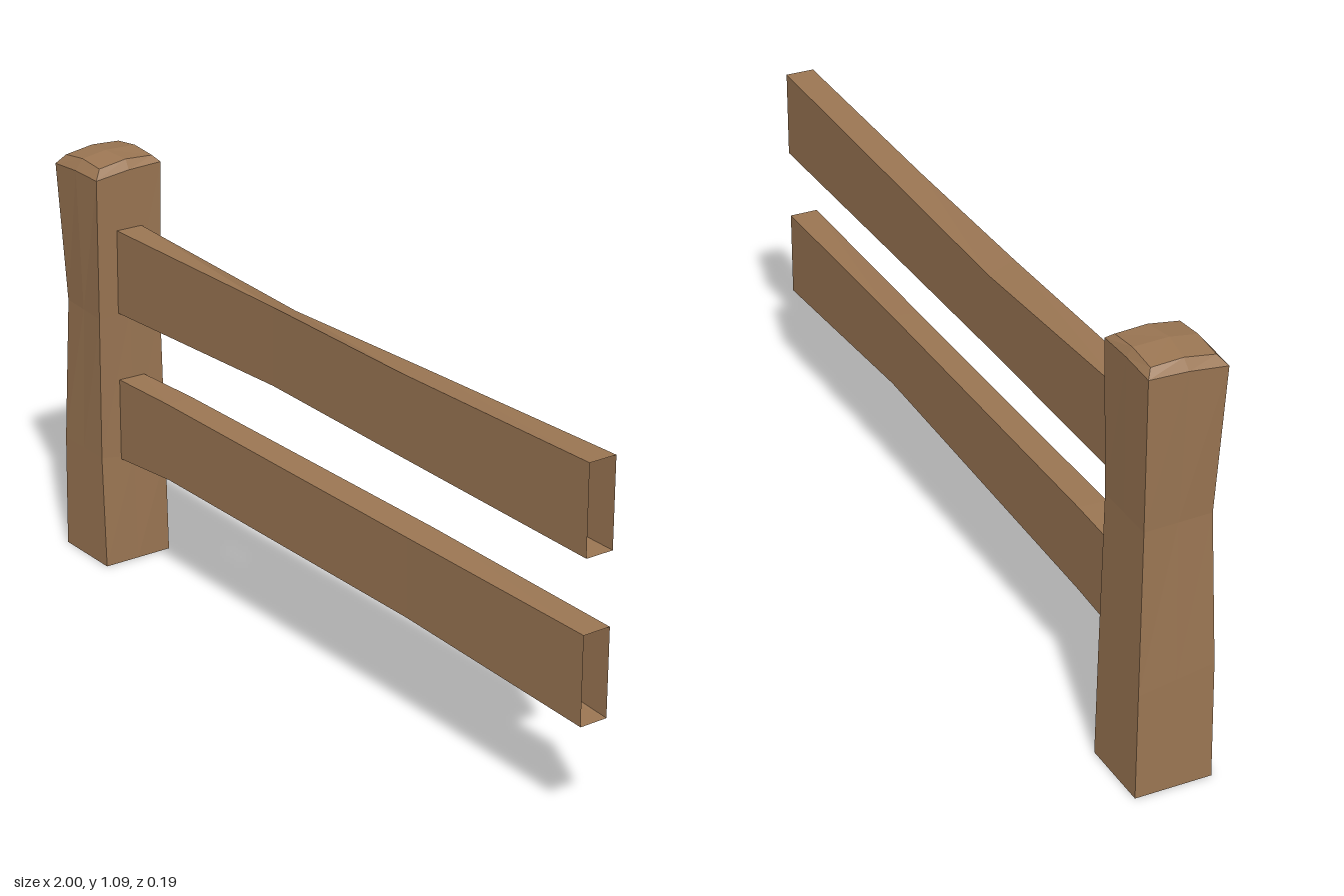
import * as THREE from 'three';

const wood = new THREE.MeshStandardMaterial({ color: 0x9b7653, flatShading: true, side: THREE.DoubleSide });
wood.name = 'brown wood';

// Joins equal closed rings of points; an optional tip closes the last ring.
function loft(name, rings, tip) {
  const pos = [];
  const n = rings[0].length;
  const tri = (...pts) => pts.forEach((p) => pos.push(...p));
  for (let r = 0; r < rings.length - 1; r++) {
    for (let i = 0; i < n; i++) {
      const j = (i + 1) % n;
      const a = rings[r][i], b = rings[r][j], c = rings[r + 1][j], d = rings[r + 1][i];
      tri(a, b, c);
      tri(a, c, d);
    }
  }
  if (tip) {
    const last = rings[rings.length - 1];
    last.forEach((p, i) => tri(p, last[(i + 1) % n], tip));
  }
  const geometry = new THREE.BufferGeometry();
  geometry.setAttribute('position', new THREE.Float32BufferAttribute(pos, 3));
  geometry.computeVertexNormals();
  const mesh = new THREE.Mesh(geometry, wood);
  mesh.name = name;
  return mesh;
}

// Four corners plus raised midpoints on each side
function withMidpoints(corners, lift) {
  return corners.flatMap((p, i) => {
    const q = corners[(i + 1) % corners.length];
    const mid = p.map((v, k) => (v + q[k]) / 2 + (k === 1 ? lift : 0));
    return [p, mid];
  });
}

// Rail section: x, top back, top front, bottom front, bottom back, z front, z back
const railRing = ([x, tb, tf, bf, bb, zf, zb]) => [[x, tb, zb], [x, tf, zf], [x, bf, zf], [x, bb, zb]];

export function createModel() {
  const group = new THREE.Group();
  group.name = 'fence';

  // Post: corners run right front, right back, left back, left front
  const foot = [[-0.81, 0, 0.094], [-0.81, 0, -0.098], [-1, 0, -0.098], [-1, 0, 0.094]];
  const low = [[-0.822, 0.3, 0.093], [-0.814, 0.27, -0.096], [-0.998, 0.27, -0.096], [-0.996, 0.3, 0.092]];
  const waist = [[-0.817, 0.68, 0.092], [-0.814, 0.68, -0.088], [-0.988, 0.68, -0.089], [-0.982, 0.68, 0.08]];
  const rim = [[-0.81, 1.045, 0.094], [-0.81, 1.06, -0.096], [-1, 1.055, -0.096], [-1, 1.042, 0.094]];
  const crown = [[-0.828, 1.068, 0.073], [-0.828, 1.075, -0.082], [-0.982, 1.073, -0.082], [-0.982, 1.066, 0.073]];
  group.add(loft('post', [foot, low, waist, rim].map((c, i) => withMidpoints(c, i === 3 ? 0.004 : 0))));
  group.add(loft('postCap', [withMidpoints(rim, 0.004), withMidpoints(crown, 0.008)], [-0.905, 1.085, 0.005]));

  // Rails: hollow warped planks, open at both ends
  group.add(loft('upperRail', [
    [-0.82, 0.904, 0.904, 0.684, 0.684, 0.036, -0.037],
    [-0.15, 0.876, 0.9, 0.701, 0.688, 0.03, -0.036],
    [0.35, 0.888, 0.895, 0.693, 0.687, 0.034, -0.037],
    [1, 0.902, 0.902, 0.682, 0.682, 0.036, -0.037],
  ].map(railRing)));
  group.add(loft('lowerRail', [
    [-0.825, 0.503, 0.503, 0.284, 0.284, 0.036, -0.037],
    [-0.6, 0.51, 0.507, 0.302, 0.297, 0.035, -0.037],
    [0.38, 0.511, 0.503, 0.302, 0.32, 0.035, -0.037],
    [1, 0.502, 0.502, 0.282, 0.282, 0.036, -0.037],
  ].map(railRing)));

  return group;
}
